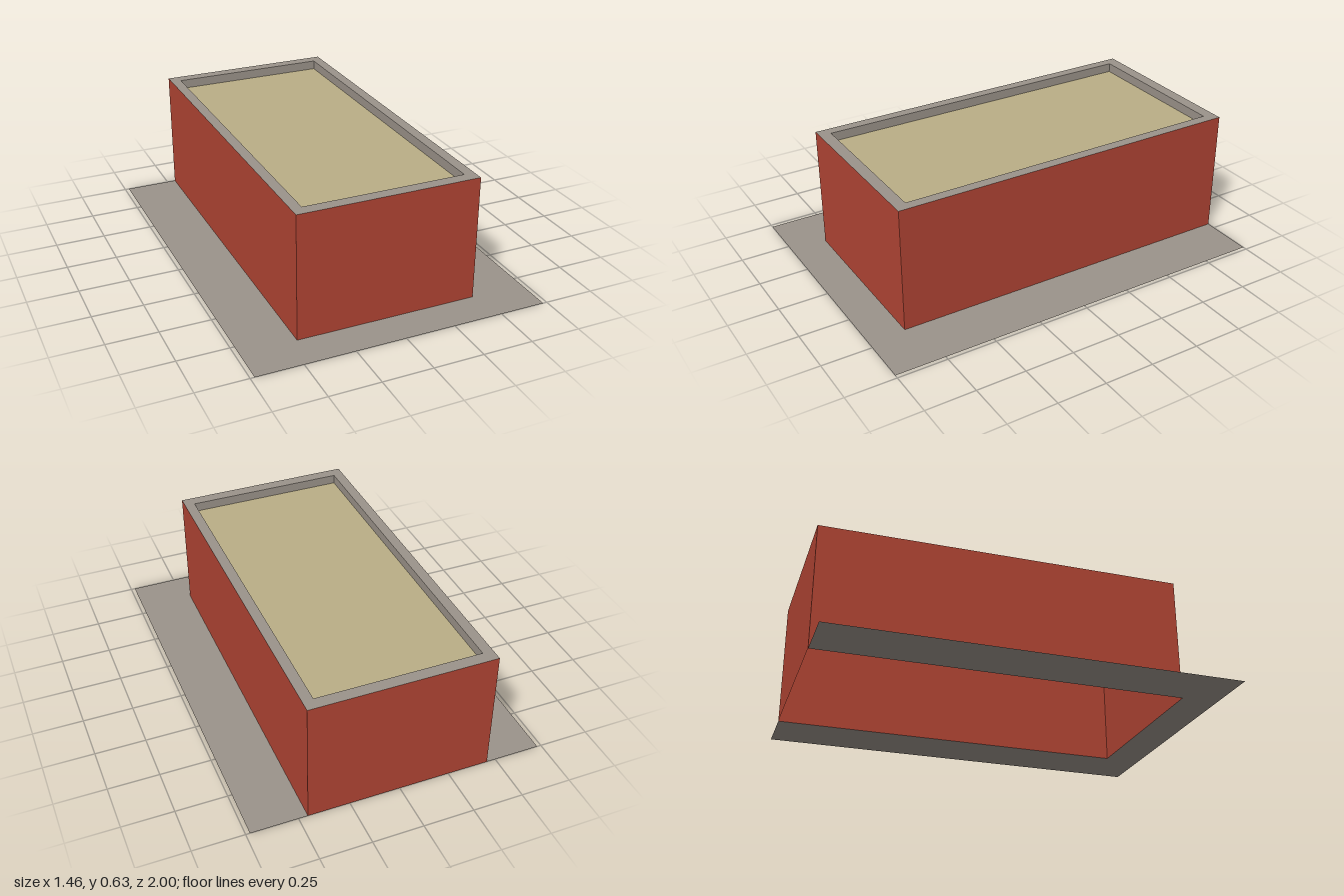
import * as THREE from 'three';

const material = (name, color) =>
  new THREE.MeshStandardMaterial({ name, color, side: THREE.DoubleSide });

// Plan rectangles: half width, back z, front z
const OUTER = { w: 0.455, back: -1, front: 0.815 };
const INNER = { w: 0.403, back: -0.94, front: 0.755 };
const HEIGHT = 0.63;
const ROOF = 0.583;

export function createModel() {
  const model = new THREE.Group();
  const brick = material('red brick', 0xb24534);
  const stone = material('grey stone', 0x9b938a);
  const gravel = material('tan gravel', 0xbaae86);

  const add = (name, geometry, mat) => {
    const mesh = new THREE.Mesh(geometry, mat);
    mesh.name = name;
    model.add(mesh);
  };

  // Flat horizontal sheet from plan points [x, z], facing up
  const plan = (points) => points.map(([x, z]) => new THREE.Vector2(x, -z));
  const corners = ({ w, back, front }) => [[-w, front], [w, front], [w, back], [-w, back]];
  const sheet = (name, points, y, mat, hole) => {
    const shape = new THREE.Shape(plan(points));
    if (hole) shape.holes.push(new THREE.Path(plan(hole)));
    const geometry = new THREE.ShapeGeometry(shape).rotateX(-Math.PI / 2).translate(0, y, 0);
    add(name, geometry, mat);
  };

  // Four upright sheets around a plan rectangle; turn flips them to face inward
  const walls = (name, { w, back, front }, y0, y1, mat, turn = 0) => {
    const midZ = (back + front) / 2;
    const sides = [
      ['Front', 2 * w, 0, 0, front],
      ['Left', front - back, Math.PI / 2, w, midZ],
      ['Back', 2 * w, Math.PI, 0, back],
      ['Right', front - back, -Math.PI / 2, -w, midZ],
    ];
    for (const [side, length, angle, x, z] of sides) {
      const geometry = new THREE.PlaneGeometry(length, y1 - y0)
        .rotateY(angle + turn)
        .translate(x, (y0 + y1) / 2, z);
      add(name + side, geometry, mat);
    }
  };

  // Pavement wraps three sides of the open-bottomed building
  const { w, back, front } = OUTER;
  sheet('pavement', [
    [-0.73, 1], [0.73, 1], [0.73, back], [w, back],
    [w, front], [-w, front], [-w, back], [-0.73, back],
  ], 0, stone);

  // Building shell, parapet and sunken roof
  walls('wall', OUTER, 0, HEIGHT, brick);
  sheet('parapetTop', corners(OUTER), HEIGHT, stone, corners(INNER));
  walls('parapetInner', INNER, ROOF, HEIGHT, stone, Math.PI);
  sheet('roof', corners(INNER), ROOF, gravel);

  return model;
}
